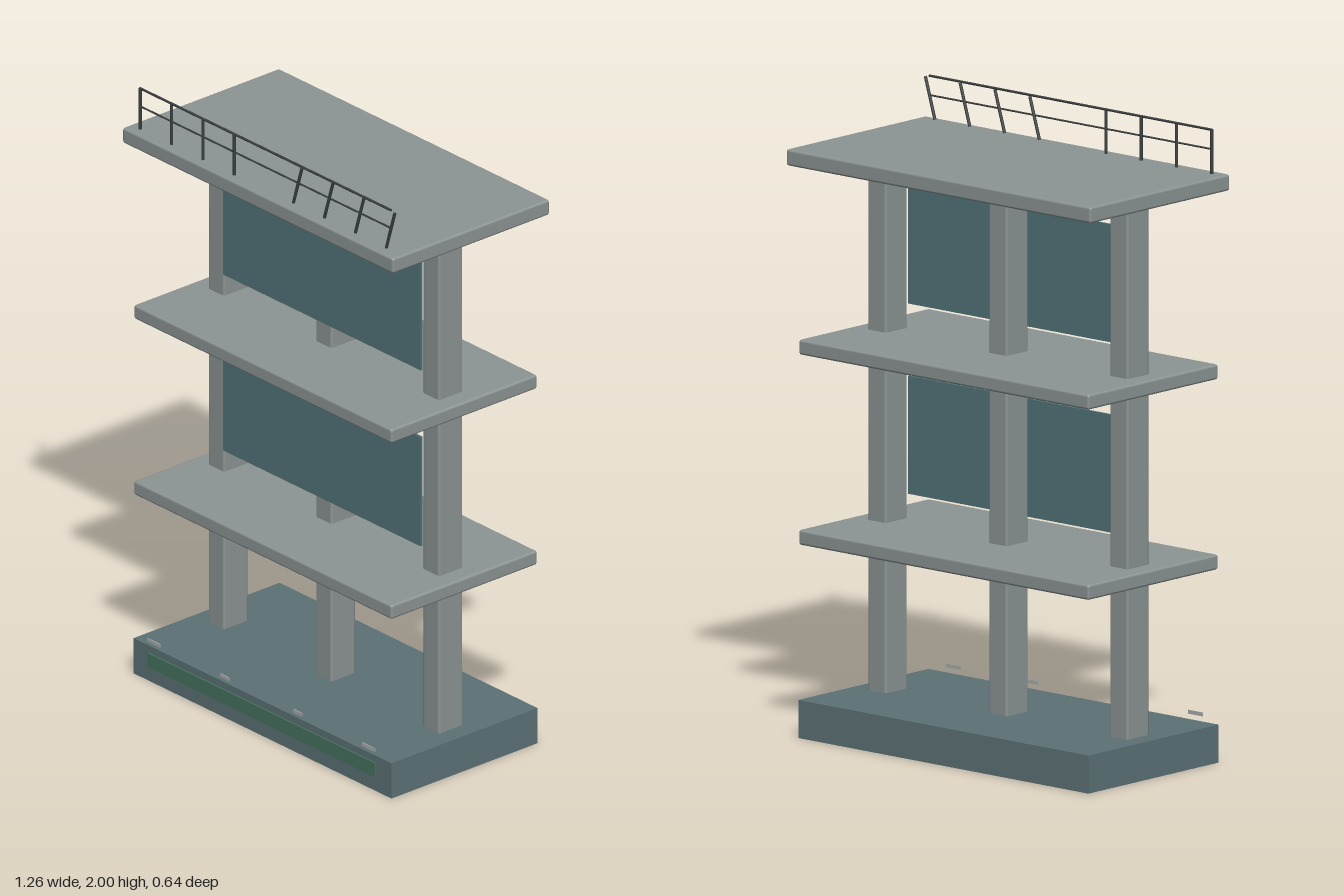
import * as THREE from 'three';
import { RoundedBoxGeometry } from 'three/addons/geometries/RoundedBoxGeometry.js';

const paint = (color) => new THREE.MeshStandardMaterial({ color });
const concrete = paint(0x8c9494);
const plinthPaint = paint(0x5c7276);
const glass = paint(0x527479);
const metal = paint(0x3c4040);
const green = paint(0x46745f);
const pale = paint(0xa8adaa);

export function createModel() {
  const model = new THREE.Group();
  model.name = 'pavilionTower';

  const add = (name, geometry, material, x, y, z) => {
    const mesh = new THREE.Mesh(geometry, material);
    mesh.name = name;
    mesh.position.set(x, y, z);
    model.add(mesh);
    return mesh;
  };
  const box = (name, material, w, h, d, x, y, z) =>
    add(name, new THREE.BoxGeometry(w, h, d), material, x, y, z);
  const softBox = (name, material, w, h, d, x, y, z, r = 0.008) =>
    add(name, new RoundedBoxGeometry(w, h, d, 2, r), material, x, y, z);

  // Round bar between two points in the railing plane
  const railZ = 0.286;
  const bar = (name, x0, y0, x1, y1, radius) => {
    const length = Math.hypot(x1 - x0, y1 - y0);
    const mesh = add(name, new THREE.CylinderGeometry(radius, radius, length, 8), metal,
      (x0 + x1) / 2, (y0 + y1) / 2, railZ);
    mesh.rotation.z = -Math.atan2(x1 - x0, y1 - y0);
  };

  // Plinth with its green front strip
  box('plinth', plinthPaint, 1.2, 0.12, 0.6, 0, 0.06, 0);
  box('greenStrip', green, 1.06, 0.048, 0.006, 0, 0.072, 0.302);

  // Small plates along the front edge
  for (const side of [-1, 1]) {
    box('outerPlate', pale, 0.06, 0.012, 0.003, side * 0.5, 0.141, 0.305);
    box('innerPlate', pale, 0.04, 0.012, 0.003, side * 0.17, 0.141, 0.305);
  }

  // Floors and roof
  softBox('lowerFloor', concrete, 1.2, 0.048, 0.6, 0, 0.633, 0);
  softBox('upperFloor', concrete, 1.2, 0.048, 0.6, 0, 1.233, 0);
  softBox('roof', concrete, 1.26, 0.052, 0.645, 0, 1.831, -0.002);

  // Three columns on each storey
  for (const [bottom, top] of [[0.11, 0.608], [0.64, 1.208], [1.24, 1.812]]) {
    for (const x of [-0.5, 0, 0.5]) {
      softBox('column', concrete, 0.076, top - bottom, 0.1, x, (bottom + top) / 2, 0);
    }
  }

  // Wall panels on the two upper storeys
  for (const y of [0.92, 1.52]) {
    box('wallPanel', glass, 0.92, 0.372, 0.008, 0, y, 0.053);
  }

  // Roof railing: upright posts on one half, leaning posts on the other
  for (let i = 0; i < 4; i++) {
    const x = -0.585 + i * 0.146;
    bar('uprightPost', x, 1.855, x, 1.997, 0.005);
    const lean = 0.128 + i * 0.144;
    bar('leaningPost', lean, 1.86, lean + 0.04, 1.992, 0.005);
  }
  bar('topRail', -0.587, 1.996, 0.583, 1.996, 0.004);
  bar('middleRail', -0.587, 1.935, 0.583, 1.935, 0.003);

  return model;
}
